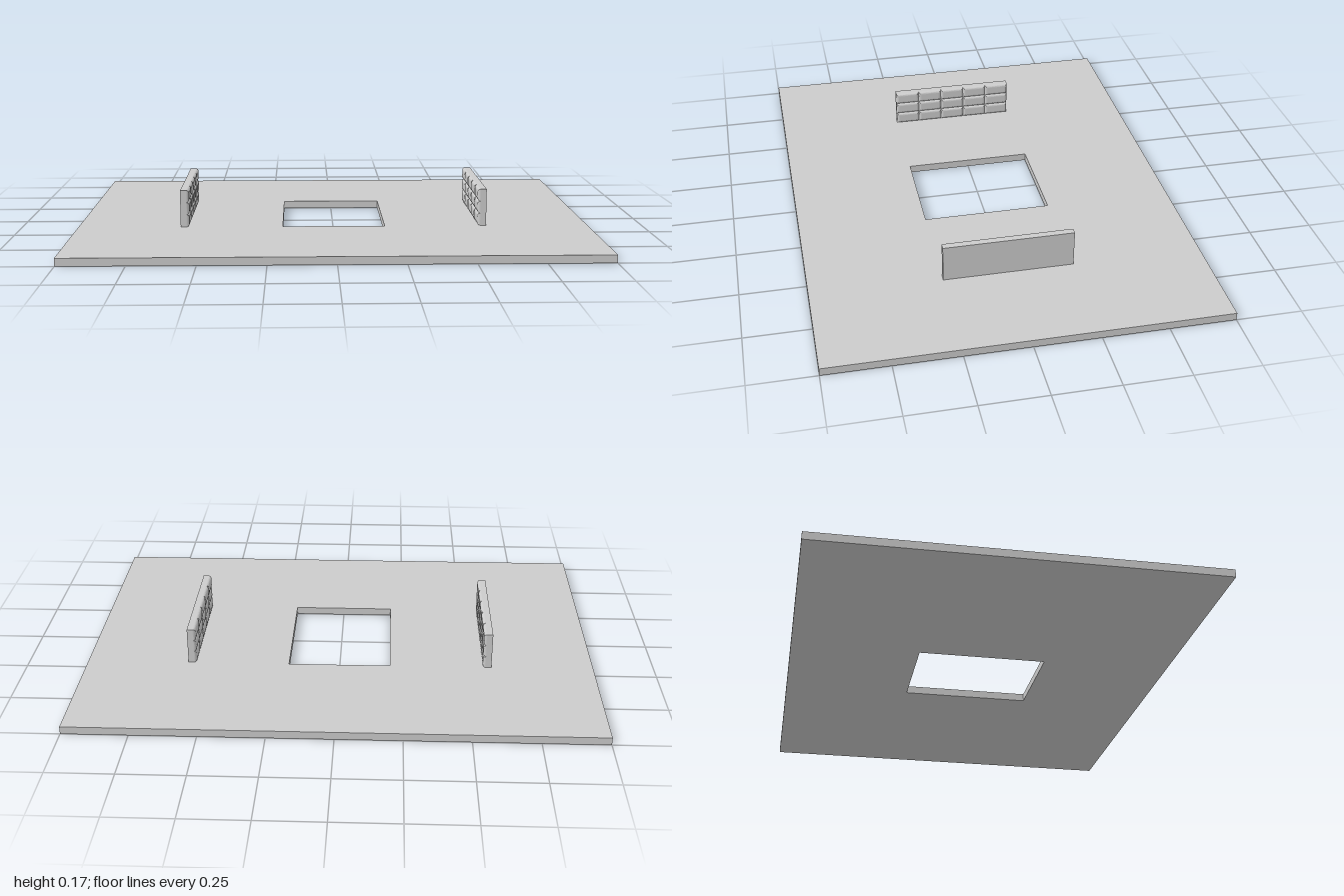
import * as THREE from 'three';

const material = new THREE.MeshStandardMaterial({ color: 0xcccccc });
const PLATE_H = 0.03;
const ROWS = 3, COLS = 5;
const PANEL = { width: 0.5, height: 0.145, depth: 0.034, round: 0.011 };

// Flat plate with a rectangular opening
function createPlate() {
  const rect = (target, x, z) => {
    target.moveTo(-x, -z);
    target.lineTo(x, -z);
    target.lineTo(x, z);
    target.lineTo(-x, z);
    target.closePath();
    return target;
  };
  const shape = rect(new THREE.Shape(), 1, 0.75);
  shape.holes.push(rect(new THREE.Path(), 0.2, 0.25));
  const geometry = new THREE.ExtrudeGeometry(shape, { depth: PLATE_H, bevelEnabled: false });
  geometry.rotateX(-Math.PI / 2);
  const plate = new THREE.Mesh(geometry, material);
  plate.name = 'basePlate';
  return plate;
}

// Block with a flat back at z = 0 and rounded edges around its front face
function createBlockGeometry(w, h, depth, r) {
  const profile = [[0, 0]];
  const steps = 5;
  for (let i = 0; i <= steps; i++) {
    const a = (i / steps) * Math.PI / 2;
    profile.push([r * (1 - Math.cos(a)), depth - r + r * Math.sin(a)]);
  }
  const rings = profile.map(([inset, z]) => {
    const x = w / 2 - inset, y = h / 2 - inset;
    return [[-x, -y, z], [x, -y, z], [x, y, z], [-x, y, z]];
  });
  const positions = [];
  const quad = (a, b, c, d) => positions.push(...a, ...b, ...c, ...a, ...c, ...d);
  for (let i = 0; i < rings.length - 1; i++) {
    for (let j = 0; j < 4; j++) {
      const k = (j + 1) % 4;
      quad(rings[i][j], rings[i][k], rings[i + 1][k], rings[i + 1][j]);
    }
  }
  const [a, b, c, d] = rings[0];
  quad(d, c, b, a);
  quad(...rings[rings.length - 1]);
  const geometry = new THREE.BufferGeometry();
  geometry.setAttribute('position', new THREE.Float32BufferAttribute(positions, 3));
  geometry.computeVertexNormals();
  return geometry;
}

// Upright wall of stacked blocks, cushioned side facing +z
function createWall(name, geometry, w, h) {
  const wall = new THREE.Group();
  wall.name = name;
  for (let row = 0; row < ROWS; row++) {
    for (let col = 0; col < COLS; col++) {
      const block = new THREE.Mesh(geometry, material);
      block.name = 'wallBlock';
      block.position.set((col - (COLS - 1) / 2) * w, (row + 0.5) * h, 0);
      wall.add(block);
    }
  }
  return wall;
}

export function createModel() {
  const model = new THREE.Group();
  model.name = 'plateWithWalls';
  model.add(createPlate());

  // Two walls, flat backs outward and cushioned sides facing the opening
  const w = PANEL.width / COLS, h = PANEL.height / ROWS;
  const blockGeometry = createBlockGeometry(w, h, PANEL.depth, PANEL.round);
  for (const side of [-1, 1]) {
    const wall = createWall(side > 0 ? 'leftWall' : 'rightWall', blockGeometry, w, h);
    wall.position.set(side * 0.6, PLATE_H, 0);
    wall.rotation.y = -side * Math.PI / 2;
    model.add(wall);
  }
  return model;
}
